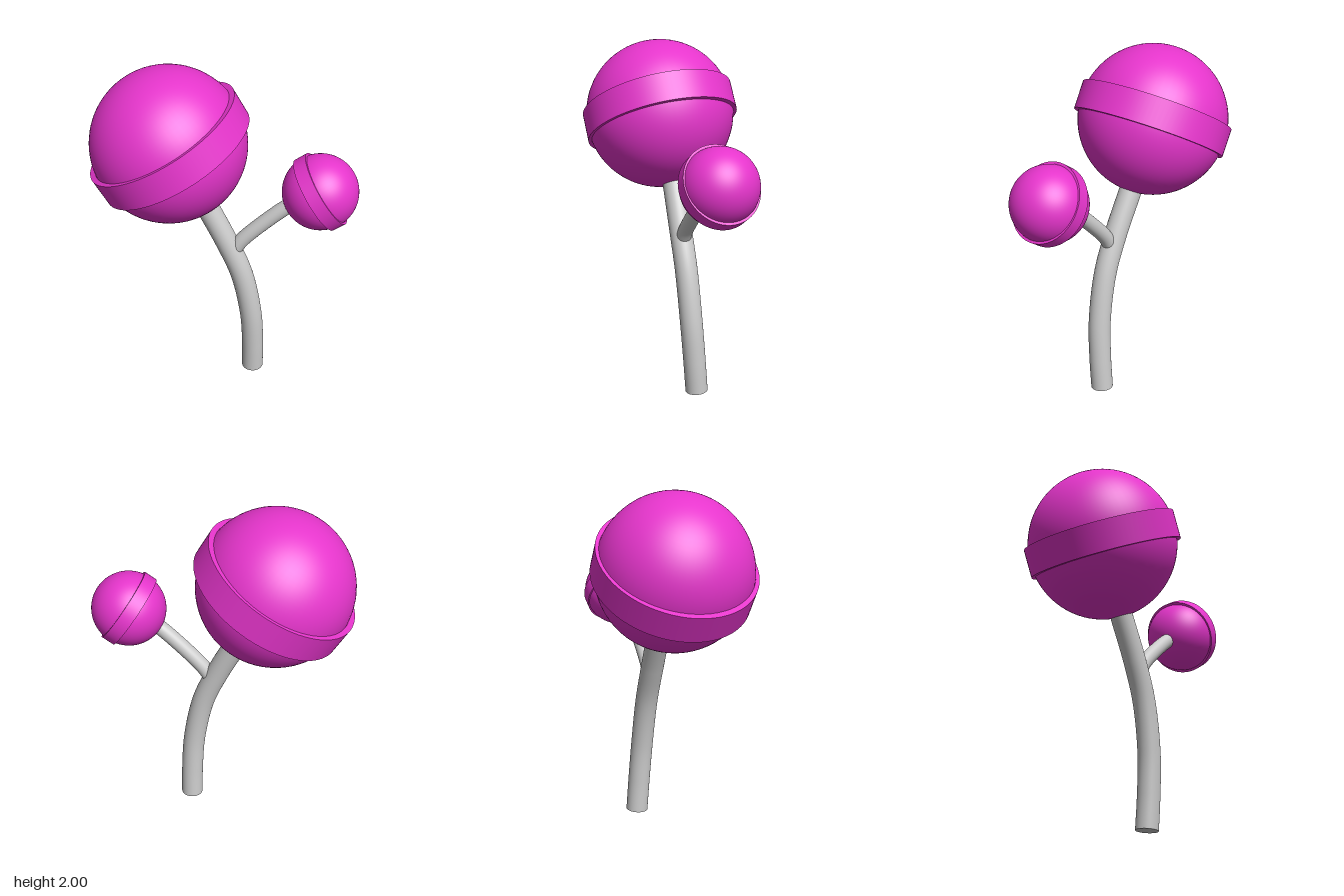
import * as THREE from 'three';

const grey = new THREE.MeshStandardMaterial({ color: 0xcccccc });
const pink = new THREE.MeshStandardMaterial({ color: 0xe635cc });

// Round stalk along a smooth curve, closed at both ends
function stalk(name, points, radius) {
  const group = new THREE.Group();
  group.name = name;
  const curve = new THREE.CatmullRomCurve3(points.map(p => new THREE.Vector3(...p)));
  group.add(new THREE.Mesh(new THREE.TubeGeometry(curve, 48, radius, 32), grey));
  for (const t of [0, 1]) {
    const cap = new THREE.Mesh(new THREE.CircleGeometry(radius, 32), grey);
    const outward = curve.getTangent(t).multiplyScalar(t ? 1 : -1);
    cap.position.copy(curve.getPoint(t));
    cap.quaternion.setFromUnitVectors(new THREE.Vector3(0, 0, 1), outward);
    group.add(cap);
  }
  group.children.forEach(m => { m.name = name; });
  return group;
}

// Candy ball with a raised, sharp-edged belt around its tilted equator
function candy(name, position, radius, beltRadius, beltHeight, tilt) {
  const group = new THREE.Group();
  group.name = name;
  const ball = new THREE.Mesh(new THREE.SphereGeometry(radius, 64, 48), pink);
  ball.name = name + 'Ball';
  const belt = new THREE.Mesh(
    new THREE.CylinderGeometry(beltRadius, beltRadius, beltHeight, 96), pink);
  belt.name = name + 'Belt';
  belt.scale.z = 0.97;
  group.add(ball, belt);
  group.position.set(...position);
  group.rotation.z = tilt;
  return group;
}

export function createModel() {
  const model = new THREE.Group();
  model.name = 'twinLollipop';

  // Curved main stem and the thinner side branch
  model.add(stalk('mainStem', [
    [0.174, 0.005, -0.008], [0.172, 0.2, 0.006], [0.157, 0.44, 0.02], [0.1, 0.73, 0.024],
    [0.01, 0.955, 0.018], [-0.105, 1.19, 0.004], [-0.15, 1.28, 0]
  ], 0.065));
  model.add(stalk('sideBranch', [
    [0.055, 0.905, 0.023], [0.1, 0.972, 0.025], [0.204, 1.08, 0.029],
    [0.35, 1.21, 0.035], [0.44, 1.27, 0.04]
  ], 0.043));

  // Large and small candies
  model.add(candy('largeCandy', [-0.304, 1.57, 0], 0.43, 0.454, 0.163, 0.518));
  model.add(candy('smallCandy', [0.528, 1.315, 0.042], 0.212, 0.223, 0.077, -0.98));

  return model;
}
